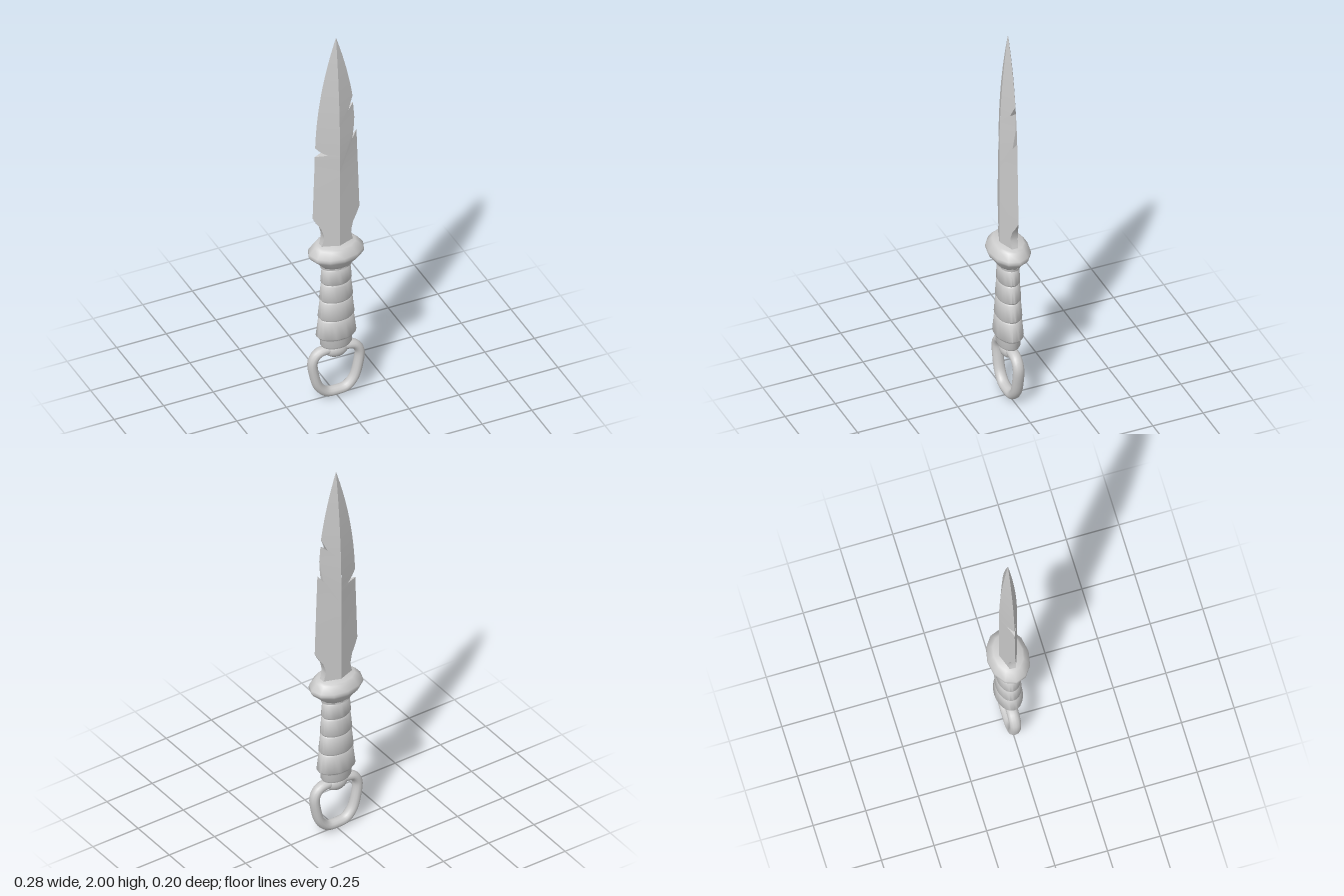
import * as THREE from 'three';
import { toCreasedNormals } from 'three/addons/utils/BufferGeometryUtils.js';

const material = new THREE.MeshStandardMaterial({ color: 0xcccccc });

function part(name, geometry) {
  const mesh = new THREE.Mesh(geometry, material);
  mesh.name = name;
  return mesh;
}

// Blade taper: 0 at the tip, 1 from y = 1.35 downwards
const taper = (y) => {
  const t = Math.min((2 - y) / 0.65, 1);
  return 1 - (1 - t) ** 2;
};
const halfWidth = (y) => 0.106 * taper(y) + 0.012 * Math.min(Math.max((1.38 - y) / 0.36, 0), 1);
const halfDepth = (y) => 0.043 * taper(y);

// Undamaged edge points running down from y0 to y1
function edge(y0, y1, n) {
  return Array.from({ length: n + 1 }, (_, i) => {
    const y = y0 + ((y1 - y0) * i) / n;
    return [halfWidth(y), y];
  });
}

// Neck where the blade narrows above the guard
const neck = [[0.118, 1.02], [0.1, 0.985], [0.08, 0.955], [0.07, 0.92], [0.068, 0.9], [0.075, 0.87], [0.085, 0.84]];

// Edge outlines [x, y, ridge y]; the ridge height is given around undercut nicks
const rightOfPicture = [
  ...edge(2, 1.65, 10), [0.07, 1.62], [0.055, 1.585, 1.53], [0.085, 1.612, 1.53],
  [0.091, 1.53, 1.5], [0.087, 1.485, 1.45], [0.077, 1.415, 1.28], [0.103, 1.455, 1.28],
  ...edge(1.26, 1.06, 3), ...neck,
];
const leftOfPicture = [
  ...edge(2, 1.41, 16), [0.085, 1.388], [0.052, 1.366, 1.36], [0.108, 1.362, 1.36],
  ...edge(1.34, 1.06, 4), ...neck,
];

// Two sloping faces from the central ridge to the edge, with walls inside the nicks
function bladeHalf(outline, side) {
  const positions = [];
  const tri = (flip, a, b, c) => positions.push(...a, ...(flip ? c : b), ...(flip ? b : c));
  const ridge = ([, y, ry = y], f) => [0, ry, f * halfDepth(ry)];
  const rim = ([x, y], f) => {
    const w = halfWidth(y);
    const z = w > 0 ? halfDepth(y) * Math.max(0, 1 - x / w) : 0;
    return [side * x, y, f * (z < 1e-5 ? 0 : z)];
  };
  for (let i = 0; i < outline.length - 1; i++) {
    const p = outline[i], q = outline[i + 1];
    for (const f of [1, -1]) {
      const flip = side * f < 0;
      if (p[0] > 0) tri(flip, ridge(p, f), ridge(q, f), rim(p, f));
      tri(flip, ridge(q, f), rim(q, f), rim(p, f));
    }
    if (rim(p, 1)[2] > 0 || rim(q, 1)[2] > 0) {
      tri(side < 0, rim(p, 1), rim(q, 1), rim(q, -1));
      tri(side < 0, rim(p, 1), rim(q, -1), rim(p, -1));
    }
  }
  const geometry = new THREE.BufferGeometry();
  geometry.setAttribute('position', new THREE.Float32BufferAttribute(positions, 3));
  return toCreasedNormals(geometry, 0.35);
}

// Lathe flattened front to back
function ovalLathe(profile, segments, depth, crease) {
  const points = profile.map(([r, y]) => new THREE.Vector2(r, y));
  const geometry = new THREE.LatheGeometry(points, segments, Math.PI / 2).scale(1, 1, depth);
  return toCreasedNormals(geometry, crease);
}

export function createModel() {
  const group = new THREE.Group();
  group.name = 'dagger';

  // Blade
  const blade = new THREE.Group();
  blade.name = 'blade';
  blade.add(part('bladeLeftHalf', bladeHalf(rightOfPicture, 1)));
  blade.add(part('bladeRightHalf', bladeHalf(leftOfPicture, -1)));
  group.add(blade);

  // Guard
  group.add(part('guard', ovalLathe([
    [0, 0.735], [0.078, 0.74], [0.088, 0.752], [0.128, 0.79], [0.137, 0.805],
    [0.134, 0.818], [0.108, 0.85], [0.095, 0.858], [0, 0.86],
  ], 12, 0.715, 1.2)));

  // Grip: collar at the foot, four wrapped bands, collar under the guard
  const profile = [[0, 0.285], [0.07, 0.285], [0.078, 0.297], [0.078, 0.328], [0.082, 0.338]];
  const bands = [
    [0.34, 0.445, 0.098, 0.087], [0.445, 0.545, 0.089, 0.08],
    [0.545, 0.64, 0.082, 0.074], [0.64, 0.725, 0.076, 0.07],
  ];
  for (const [y0, y1, r0, r1] of bands) {
    profile.push([r0 - 0.007, y0 + 0.001], [r0, y0 + 0.01], [r1, y1 - 0.008], [r1 - 0.006, y1 - 0.001]);
  }
  profile.push([0.076, 0.728], [0.08, 0.745], [0, 0.75]);
  group.add(part('grip', ovalLathe(profile, 24, 0.67, 0.8)));

  // Ring pommel
  const half = [[0.05, 0.03], [0.088, 0.068], [0.11, 0.135], [0.117, 0.215], [0.093, 0.252], [0.045, 0.264]];
  const path = [
    [0, 0.023], ...half, [0, 0.264],
    ...half.slice().reverse().map(([x, y]) => [-x, y]),
  ].map(([x, y]) => new THREE.Vector3(x, y, 0));
  const curve = new THREE.CatmullRomCurve3(path, true);
  group.add(part('pommelRing', new THREE.TubeGeometry(curve, 64, 0.023, 12, true).scale(1, 1, 1.2)));

  // Boss joining the ring to the grip
  const boss = new THREE.SphereGeometry(1, 20, 12).scale(0.058, 0.042, 0.04);
  group.add(part('pommelBoss', boss.translate(0, 0.258, 0)));

  return group;
}
